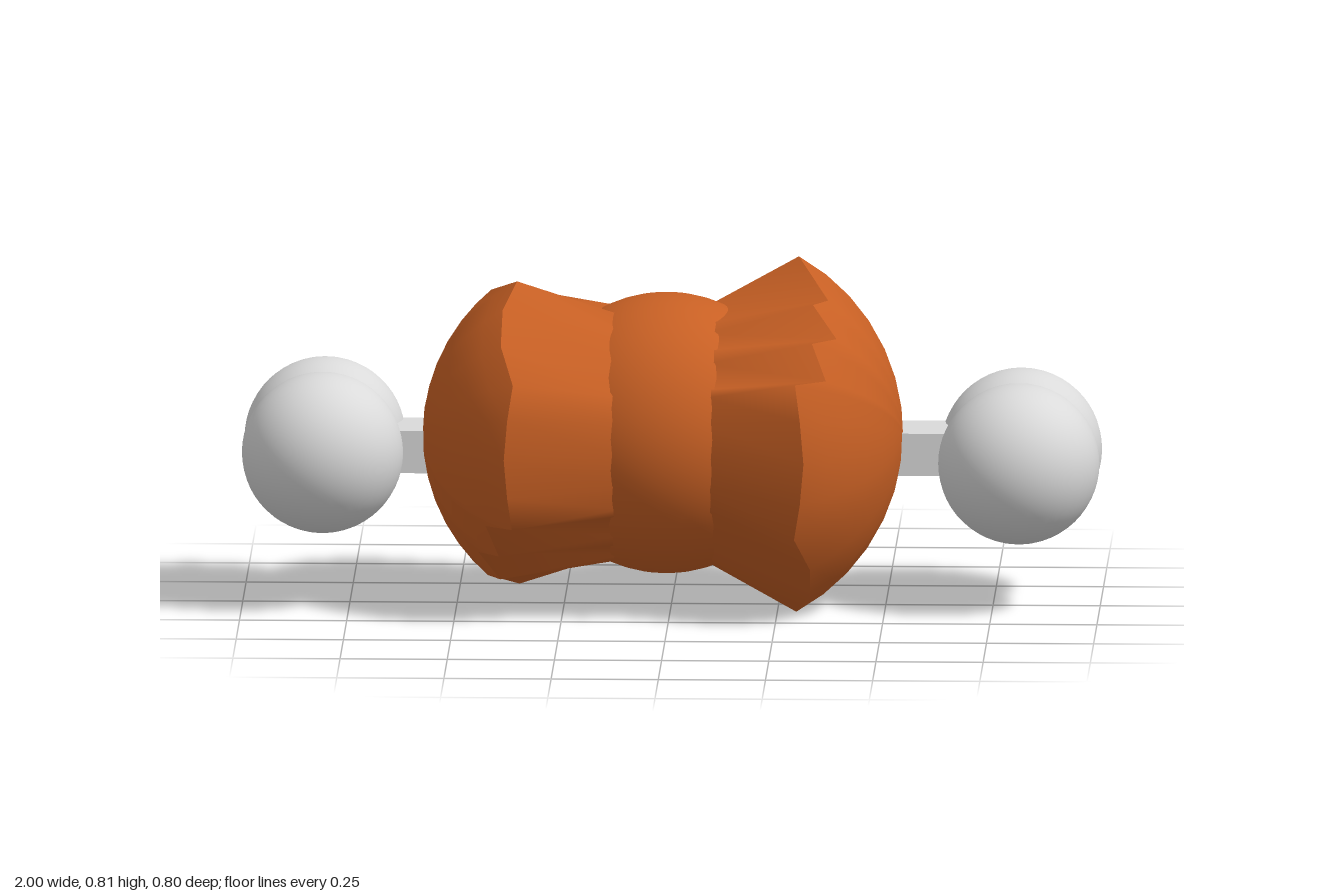
import * as THREE from 'three';

export function createModel() {
  const model = new THREE.Group();
  const orange = new THREE.MeshStandardMaterial({ name: 'orange', color: 0xc86024 });
  const grey = new THREE.MeshStandardMaterial({ name: 'light grey', color: 0xdadada });

  const add = (name, geometry, material, x, y, z, parent = model) => {
    const mesh = new THREE.Mesh(geometry, material);
    mesh.name = name;
    mesh.position.set(x, y, z);
    parent.add(mesh);
    return mesh;
  };

  // Stepped rim outline as [z, y]; the second half is the first turned by 180 degrees
  const half = [
    [-0.1, 0.403], [-0.19, 0.345], [-0.285, 0.27], [-0.37, 0.185], [-0.393, 0.1], [-0.4, 0],
    [-0.393, -0.1], [-0.37, -0.182], [-0.315, -0.182], [-0.285, -0.265], [-0.22, -0.265],
    [-0.19, -0.34], [-0.13, -0.34],
  ];
  const rim = [...half, ...half.map(([z, y]) => [-z, -y])];

  // Skin a list of equal rings, running towards +x
  const loft = (rings) => {
    const n = rim.length;
    const index = [];
    for (let i = 0; i < rings.length - 1; i++) {
      for (let j = 0; j < n; j++) {
        const a = i * n + j, b = i * n + (j + 1) % n;
        index.push(a, a + n, b, b, a + n, b + n);
      }
    }
    const geometry = new THREE.BufferGeometry();
    geometry.setAttribute('position', new THREE.Float32BufferAttribute(rings.flat(2), 3));
    geometry.setIndex(index);
    geometry.computeVertexNormals();
    return geometry;
  };

  // One flared end: a cone opening to the stepped rim, closed by a spherical cap
  const flaredEnd = (name, scale, tip, rimX, waistX, turn) => {
    const group = new THREE.Group();
    group.name = name;
    group.position.y = 0.403;
    group.rotation.y = turn;
    const a = 0.4 * scale, h = tip - rimX;
    const R = (a * a + h * h) / (2 * h);
    const capRing = (t) => rim.map(([z, y]) => {
      const pz = z * scale * t, py = y * scale * t;
      return [tip - R + Math.sqrt(R * R - pz * pz - py * py), py, pz];
    });
    const waist = rim.map(([z, y]) => {
      const k = 0.3 / Math.hypot(z, y);
      return [waistX, y * k, z * k];
    });
    add('flare', loft([waist, capRing(1)]), orange, 0, 0, 0, group);
    const steps = [1, 0.9, 0.78, 0.64, 0.48, 0.32, 0.16, 0.001];
    add('cap', loft(steps.map(capRing)), orange, 0, 0, 0, group);
    model.add(group);
  };
  flaredEnd('leftEnd', 1, 0.54, 0.32, 0.085, 0);
  flaredEnd('rightEnd', 0.93, 0.58, 0.38, 0.11, Math.PI);

  // Round middle between the two ends
  add('middle', new THREE.SphereGeometry(0.328, 40, 28), orange, -0.012, 0.405, 0);

  // Bone running through the body, with two knobs at each end
  add('boneShaft', new THREE.BoxGeometry(1.5, 0.1, 0.175), grey, 0, 0.36, -0.06);
  const knob = new THREE.SphereGeometry(0.188, 40, 28);
  for (const [x, y] of [[0.812, 0.347], [-0.812, 0.365]]) {
    for (const z of [0.065, -0.14]) add('boneKnob', knob, grey, x, y, z);
  }
  return model;
}
